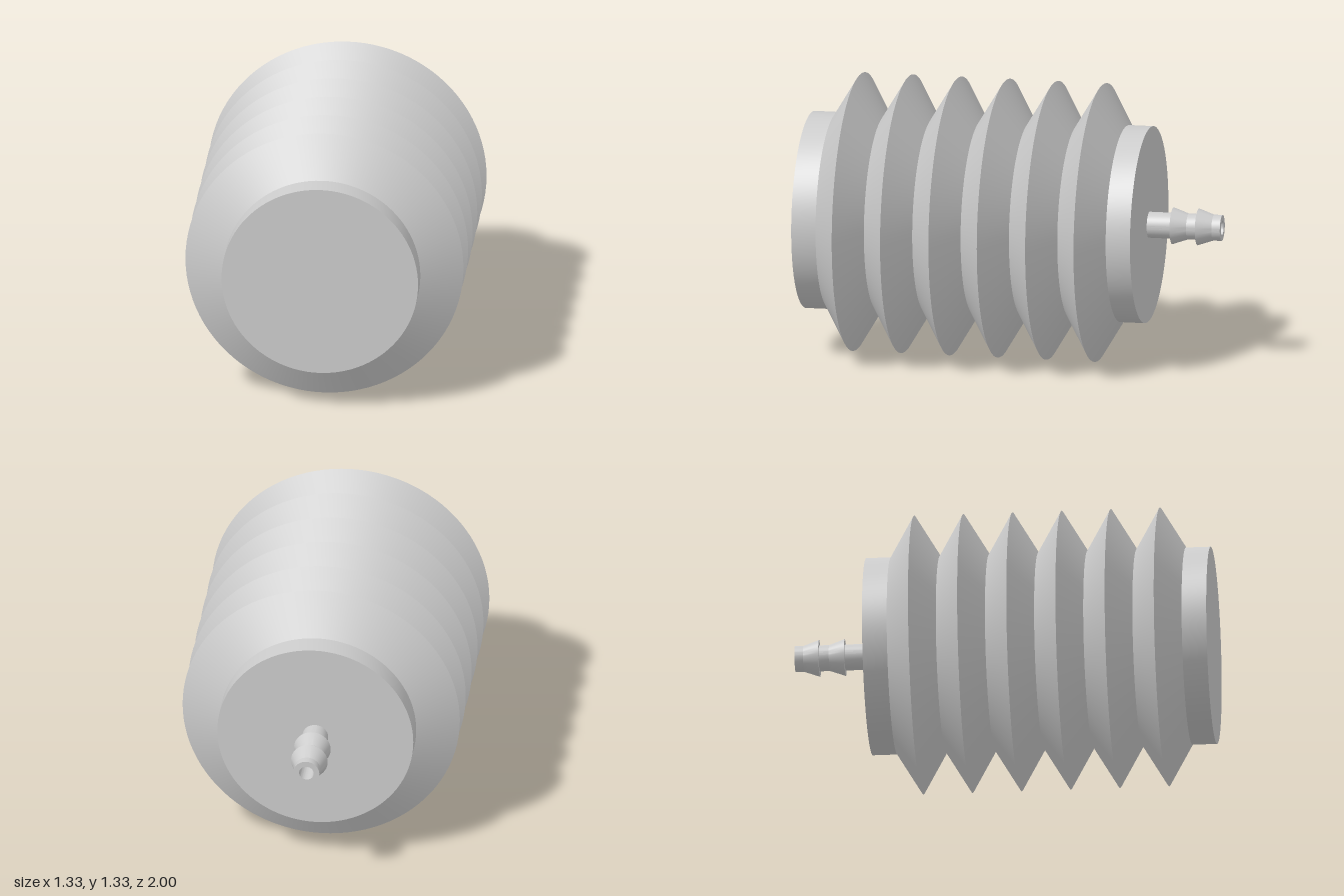
import * as THREE from 'three';
import { toCreasedNormals } from 'three/addons/utils/BufferGeometryUtils.js';

const CENTRE_Y = 0.667;   // height of the bellows axis
const NECK = 0.47;        // radius of collars and pleat valleys
const CREST = 0.665;      // radius of pleat crests
const BACK = -0.645, FRONT = 1, COLLAR = 0.118, PLEATS = 6;

// Turns a [radius, z] profile (listed from back to front) about the z axis.
function turned(name, profile, material, segments) {
  const points = profile.map(([r, z]) => new THREE.Vector2(r, z));
  const lathe = new THREE.LatheGeometry(points, segments).rotateX(Math.PI / 2);
  const mesh = new THREE.Mesh(toCreasedNormals(lathe, 0.25), material);
  mesh.name = name;
  mesh.position.y = CENTRE_Y;
  return mesh;
}

export function createModel() {
  const group = new THREE.Group();
  group.name = 'bellows';
  const rubber = new THREE.MeshStandardMaterial({ color: 0xcccccc });
  rubber.name = 'light grey';

  // Closed collars at both ends
  const first = BACK + COLLAR, last = FRONT - COLLAR;
  group.add(turned('backCollar', [[0, BACK], [NECK, BACK], [NECK, first]], rubber, 96));
  group.add(turned('frontCollar', [[NECK, last], [NECK, FRONT], [0, FRONT]], rubber, 96));

  // Sharp accordion pleats
  const pitch = (last - first) / PLEATS;
  const folds = [[NECK, first]];
  for (let i = 0; i < PLEATS; i++) {
    folds.push([CREST, first + (i + 0.5) * pitch], [NECK, first + (i + 1) * pitch]);
  }
  group.add(turned('pleats', folds, rubber, 96));

  // Hollow hose nozzle with two barbs
  const tube = 0.062, barb = 0.088, bore = 0.035;
  const nozzle = [[bore, BACK], [bore, -1], [tube, -1]];
  for (const z of [-0.884, -0.761]) {
    nozzle.push([tube, z - 0.075], [barb, z], [tube, z]);
  }
  nozzle.push([tube, BACK]);
  group.add(turned('barbedNozzle', nozzle, rubber, 48));

  return group;
}
